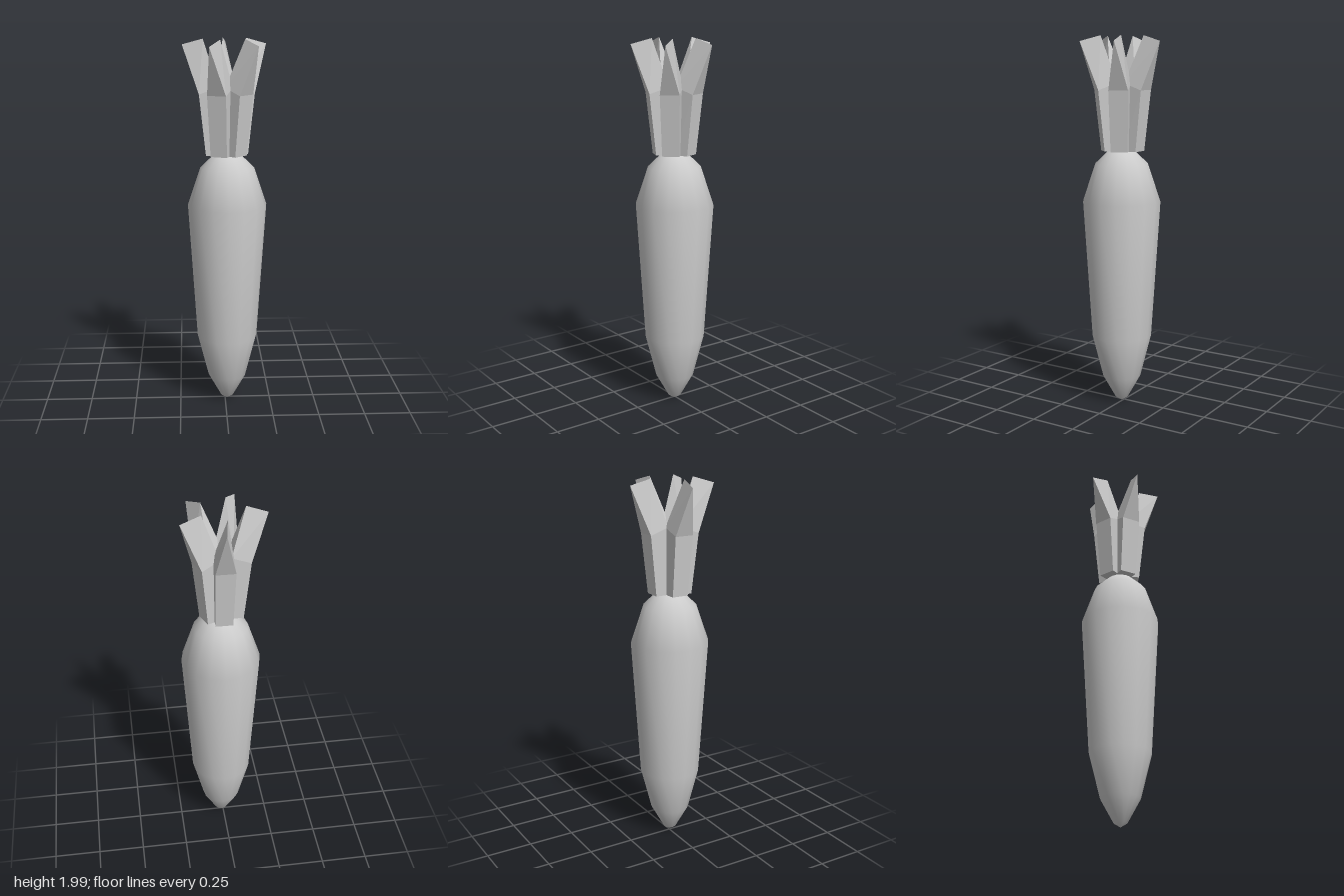
import * as THREE from 'three';

const grey = new THREE.MeshStandardMaterial({ color: 0xcccccc });
grey.name = 'light grey';

// Cross-section corners: outer back, outer front, inner front, inner back
const section = (outer, outerY, inner, innerY, back, front) => [
  [outer, outerY, back], [outer, outerY, front], [inner, innerY, front], [inner, innerY, back],
];

// Bent stalk with a square section that narrows to a ridge at the top
function leafGeometry() {
  const points = [
    ...section(-0.107, 1.4, -0.032, 1.4, -0.046, 0.044),
    ...section(-0.142, 1.72, -0.041, 1.755, -0.051, 0.052),
    [-0.227, 1.97, -0.006], [-0.12, 2, 0.012],
  ];
  const index = [0, 3, 2, 0, 2, 1]; // underside
  for (let i = 0; i < 4; i++) {
    const j = (i + 1) % 4;
    index.push(i, j, j + 4, i, j + 4, i + 4);
  }
  index.push(4, 5, 8, 5, 6, 9, 5, 9, 8, 6, 7, 9, 7, 4, 8, 7, 8, 9); // tapering tip
  const geometry = new THREE.BufferGeometry();
  geometry.setAttribute('position', new THREE.Float32BufferAttribute(points.flat(), 3));
  geometry.setIndex(index);
  const flat = geometry.toNonIndexed();
  flat.computeVertexNormals();
  return flat;
}

export function createModel() {
  const group = new THREE.Group();
  group.name = 'rootVegetable';

  // Smooth tapering root
  const profile = [
    [0, 0.008], [0.035, 0.03], [0.104, 0.155], [0.163, 0.39],
    [0.21, 1.13], [0.143, 1.33], [0.07, 1.4], [0, 1.415],
  ].map(([r, y]) => new THREE.Vector2(r, y));
  const root = new THREE.Mesh(new THREE.LatheGeometry(profile, 16), grey);
  root.name = 'root';
  root.position.set(0.011, 0, 0.009);
  group.add(root);

  // Five faceted leaves, unevenly spaced in sixteenths of a turn
  const leaves = new THREE.Group();
  leaves.name = 'leaves';
  leaves.position.set(0.005, 0, 0.006);
  const geometry = leafGeometry();
  [0, 4, 7, 10, 13].forEach((step, i) => {
    const leaf = new THREE.Mesh(geometry, grey);
    leaf.name = `leaf${i + 1}`;
    leaf.rotation.y = -step * Math.PI / 8;
    leaves.add(leaf);
  });
  group.add(leaves);
  return group;
}
